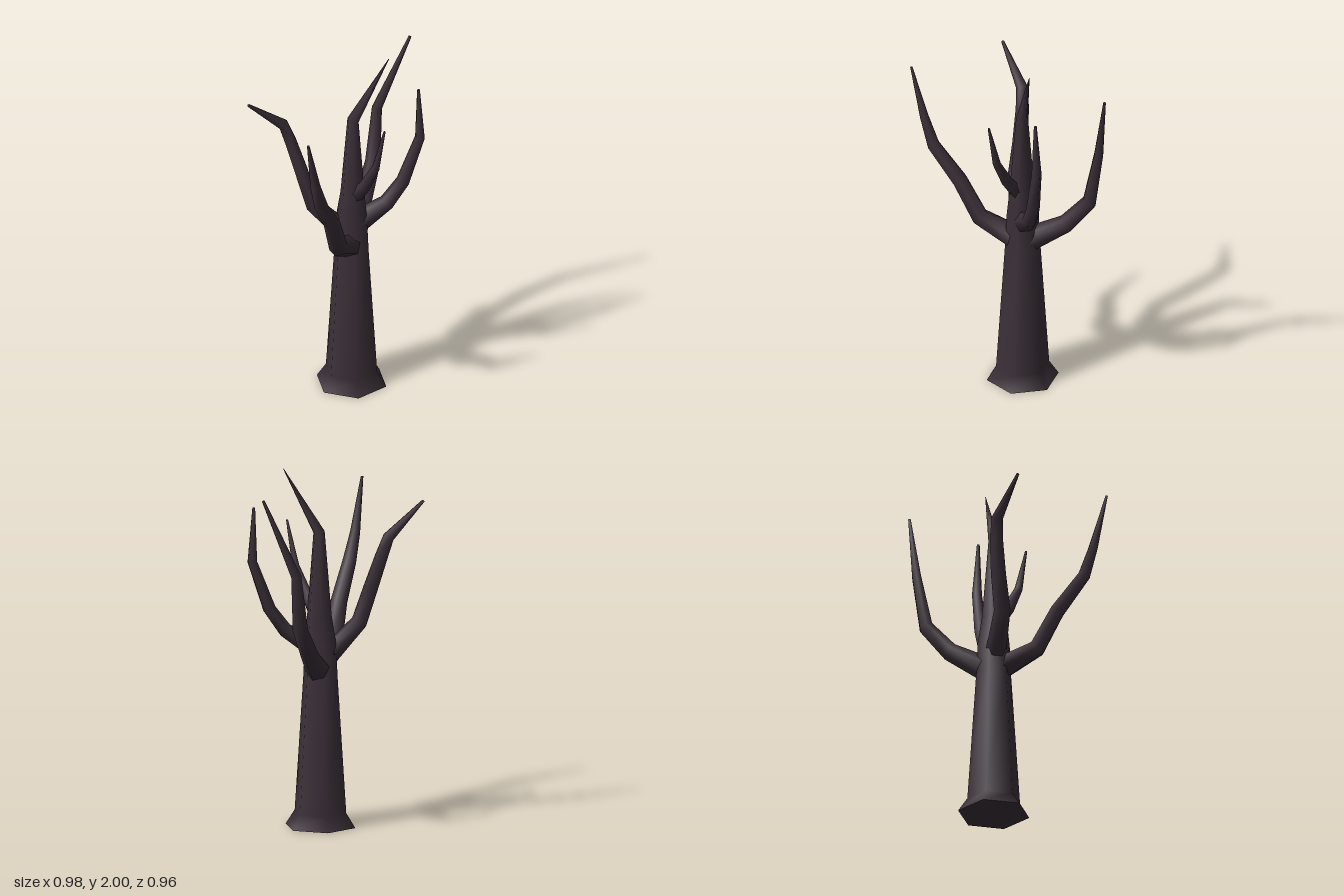
import * as THREE from 'three';

const SIDES = 6;

// Six-sided tube through stations [x, y, z, radius], with flat end caps.
function limb(stations) {
  const p = stations.map(s => new THREE.Vector3(s[0], s[1], s[2]));
  const n = p.length;
  const pos = [], idx = [];
  const side = new THREE.Vector3(0, 0, 1);
  for (let i = 0; i < n; i++) {
    const t = new THREE.Vector3();
    if (i > 0) t.add(p[i].clone().sub(p[i - 1]).normalize());
    if (i < n - 1) t.add(p[i + 1].clone().sub(p[i]).normalize());
    t.normalize();
    // carry the side direction along so the tube does not twist
    side.addScaledVector(t, -side.dot(t)).normalize();
    const other = t.clone().cross(side);
    for (let k = 0; k < SIDES; k++) {
      const a = k / SIDES * Math.PI * 2;
      const v = p[i].clone()
        .addScaledVector(side, Math.cos(a) * stations[i][3])
        .addScaledVector(other, Math.sin(a) * stations[i][3]);
      pos.push(v.x, v.y, v.z);
    }
  }
  for (let i = 0; i < n - 1; i++) {
    for (let k = 0; k < SIDES; k++) {
      const a = i * SIDES + k, b = i * SIDES + (k + 1) % SIDES;
      idx.push(a, b, b + SIDES, a, b + SIDES, a + SIDES);
    }
  }
  // end caps with their own vertices
  for (const [ring, flip] of [[0, true], [n - 1, false]]) {
    const start = pos.length / 3;
    for (let k = 0; k < SIDES * 3; k++) pos.push(pos[ring * SIDES * 3 + k]);
    for (let k = 1; k < SIDES - 1; k++) {
      if (flip) idx.push(start, start + k + 1, start + k);
      else idx.push(start, start + k, start + k + 1);
    }
  }
  const g = new THREE.BufferGeometry();
  g.setAttribute('position', new THREE.Float32BufferAttribute(pos, 3));
  g.setIndex(idx);
  g.computeVertexNormals();
  return g;
}

export function createModel() {
  const bark = new THREE.MeshStandardMaterial({ color: 0x3b3038 });
  bark.name = 'dark bark';

  const limbs = {
    // flared foot, tapering column and bent top spike
    trunk: [
      [0.085, 0, -0.075, 0.2], [0.085, 0.08, -0.075, 0.148], [0.085, 0.84, -0.075, 0.098],
      [0.085, 1.02, -0.075, 0.09], [0.09, 1.18, -0.07, 0.07],
      [0.092, 1.64, -0.07, 0.033], [0.29, 2, -0.07, 0.002],
    ],
    frontBranch: [
      [0.075, 0.87, -0.05, 0.07], [-0.03, 0.97, 0.14, 0.052], [-0.085, 1.18, 0.24, 0.046],
      [-0.17, 1.37, 0.37, 0.038], [-0.21, 1.52, 0.41, 0.028], [-0.263, 1.82, 0.474, 0.007],
    ],
    rightBranch: [
      [0.07, 0.92, -0.075, 0.06], [-0.13, 1.13, -0.08, 0.046], [-0.185, 1.32, -0.115, 0.042],
      [-0.24, 1.5, -0.14, 0.037], [-0.28, 1.61, -0.145, 0.032], [-0.488, 1.79, -0.08, 0.008],
    ],
    backBranch: [
      [0.1, 0.87, -0.1, 0.07], [0.19, 1, -0.295, 0.05], [0.268, 1.17, -0.41, 0.042],
      [0.3, 1.48, -0.455, 0.028], [0.483, 1.91, -0.45, 0.008],
    ],
    leftBranch: [
      [0.09, 0.98, -0.075, 0.07], [0.28, 1.1, -0.075, 0.044], [0.37, 1.225, -0.075, 0.038],
      [0.465, 1.49, -0.075, 0.028], [0.456, 1.79, -0.07, 0.008],
    ],
    twig: [
      [0.095, 1.16, -0.06, 0.045], [0.14, 1.27, 0.02, 0.033],
      [0.188, 1.42, 0.09, 0.022], [0.226, 1.67, 0.142, 0.006],
    ],
  };

  const tree = new THREE.Group();
  tree.name = 'bareTree';
  for (const [name, stations] of Object.entries(limbs)) {
    const mesh = new THREE.Mesh(limb(stations), bark);
    mesh.name = name;
    tree.add(mesh);
  }
  return tree;
}
